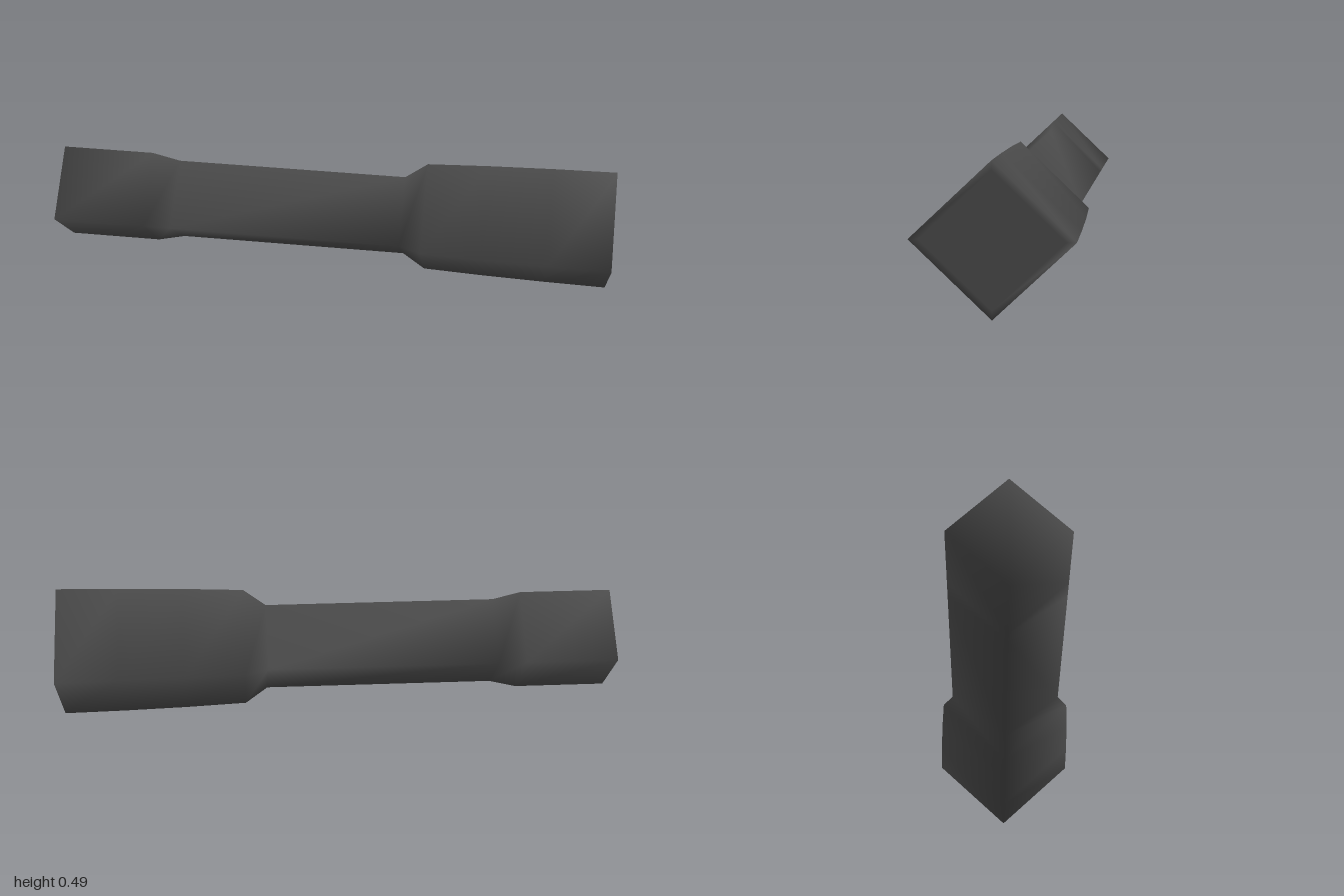
import * as THREE from 'three';

// Smooth skin through diamond cross-sections [x, halfHeight, halfDepth], closed at both ends
function loftDiamonds(sections, centerY) {
  const positions = [];
  const index = [];
  for (const [x, h, d] of sections) {
    positions.push(x, centerY + h, 0, x, centerY, d, x, centerY - h, 0, x, centerY, -d);
  }
  for (let i = 0; i < sections.length - 1; i++) {
    for (let j = 0; j < 4; j++) {
      const k = (j + 1) % 4;
      const a = i * 4 + j, b = a + 4, d = i * 4 + k, c = d + 4;
      index.push(a, d, b, d, c, b);
    }
  }
  // End caps share the rim corners so the shading rolls over the edge
  const e = (sections.length - 1) * 4;
  index.push(0, 2, 1, 0, 3, 2);
  index.push(e, e + 1, e + 2, e, e + 2, e + 3);
  const geometry = new THREE.BufferGeometry();
  geometry.setAttribute('position', new THREE.Float32BufferAttribute(positions, 3));
  geometry.setIndex(index);
  geometry.computeVertexNormals();
  return geometry;
}

export function createModel() {
  const group = new THREE.Group();
  group.name = 'flaredGrip';
  const darkGrey = new THREE.MeshStandardMaterial({ color: 0x4a4a4a });
  darkGrey.name = 'darkGrey';

  const sections = [
    [-1, 0.19, 0.2],        // small end
    [-0.67, 0.19, 0.2],
    [-0.57, 0.165, 0.2],    // slim shaft
    [0.255, 0.165, 0.2],
    [0.335, 0.226, 0.236],  // flared head
    [0.55, 0.236, 0.247],
    [0.78, 0.243, 0.255],
    [1, 0.247, 0.26],
    [1, 0.217, 0.228],      // rim inset on the large face
  ];
  const body = new THREE.Mesh(loftDiamonds(sections, 0.247), darkGrey);
  body.name = 'body';
  group.add(body);
  return group;
}
